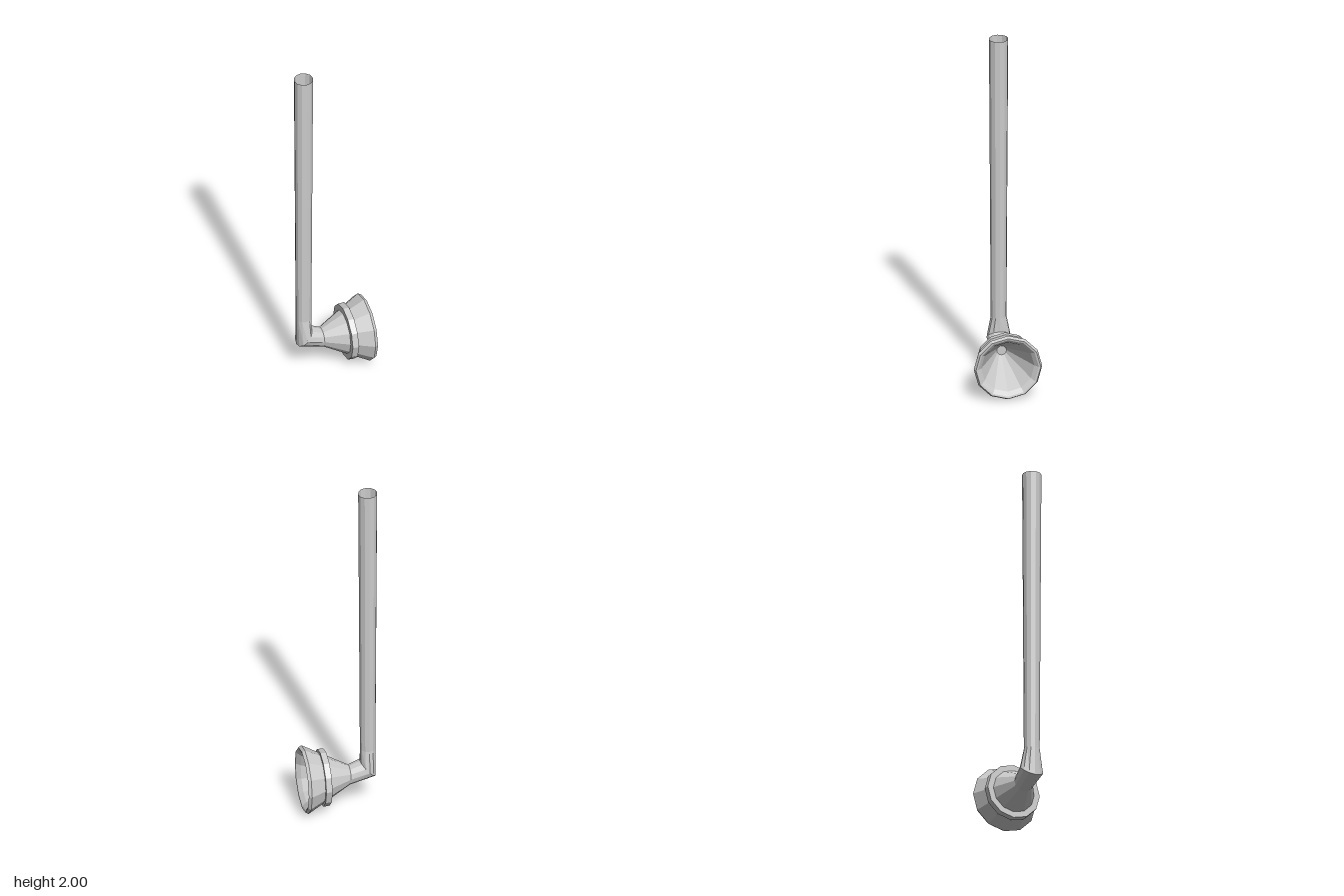
import * as THREE from 'three';

const SIDES = 12;
const HORN_Y = 0.191; // height of the horn axis

// Cross-section: centre (x, y), in-plane half-axis (ux, uy), half-width in z
const section = (x, y, ux, uy, w) => ({ x, y, ux, uy, w });
const upright = (x, r) => section(x, HORN_Y, 0, r, r); // section facing along x
const level = (y, r) => section(-0.158, y, r, 0, r);   // section facing along y

// Skins a list of cross-sections
function loft(sections) {
  const pos = [], index = [];
  sections.forEach((s, i) => {
    for (let j = 0; j < SIDES; j++) {
      const a = (j / SIDES) * Math.PI * 2;
      pos.push(s.x + s.ux * Math.cos(a), s.y + s.uy * Math.cos(a), s.w * Math.sin(a));
      if (i === 0) continue;
      const k = (j + 1) % SIDES, p = (i - 1) * SIDES, n = i * SIDES;
      index.push(p + j, p + k, n + j, p + k, n + k, n + j);
    }
  });
  const g = new THREE.BufferGeometry();
  g.setAttribute('position', new THREE.Float32BufferAttribute(pos, 3));
  g.setIndex(index);
  const flat = g.toNonIndexed();
  flat.computeVertexNormals();
  return flat;
}

export function createModel() {
  const group = new THREE.Group();
  const material = new THREE.MeshStandardMaterial({
    color: 0xcccccc, flatShading: true, side: THREE.DoubleSide,
  });
  const add = (name, sections) => {
    const mesh = new THREE.Mesh(loft(sections), material);
    mesh.name = name;
    group.add(mesh);
  };

  const elbow = section(-0.157, 0.225, 0.043, 0.046, 0.067); // mitred joint

  // Long open pipe, tapering down to the elbow
  add('pipe', [level(2, 0.053), level(0.35, 0.0435), elbow]);

  // Neck between the elbow and the horn
  add('neck', [elbow, upright(-0.054, 0.055)]);

  // Horn: outer flare, lip, then the inner cone ending in a small closed disc
  add('horn', [
    upright(-0.054, 0.055), upright(0.193, 0.189), upright(0.21, 0.179),
    upright(0.207, 0.168), upright(0.185, 0.147), upright(-0.045, 0.027),
    upright(-0.045, 0),
  ]);

  // Raised band around the horn
  add('band', [
    upright(0.072, 0.12), upright(0.072, 0.157),
    upright(0.107, 0.159), upright(0.107, 0.14),
  ]);

  return group;
}
